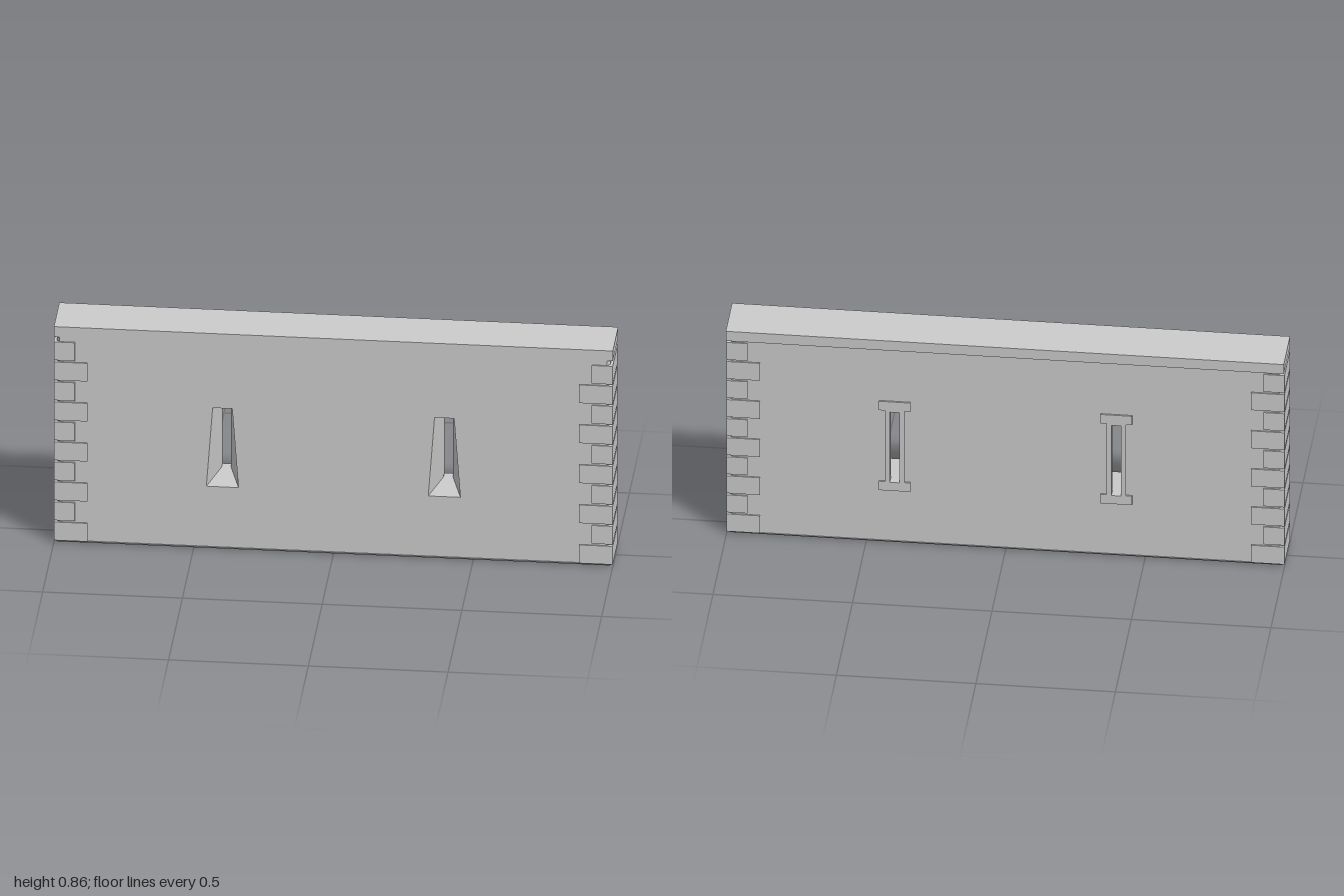
import * as THREE from 'three';

const material = new THREE.MeshStandardMaterial({ color: 0xcccccc, flatShading: true, side: THREE.DoubleSide });
const FRONT = 0.095, BACK = -0.075;   // wall faces
const BASE = 0.01, CAP = 0.815, TOP = 0.855;
const SLITS = [-0.397, 0.397];

const v2 = (pts) => pts.map(([x, y]) => new THREE.Vector2(x, y));

function add(parent, name, geometry) {
  const mesh = new THREE.Mesh(geometry, material);
  mesh.name = name;
  parent.add(mesh);
  return mesh;
}

function box(parent, name, x0, x1, y0, y1, z0, z1) {
  const mesh = add(parent, name, new THREE.BoxGeometry(x1 - x0, y1 - y0, z1 - z0));
  mesh.position.set((x0 + x1) / 2, (y0 + y1) / 2, (z0 + z1) / 2);
  return mesh;
}

// Joins successive closed rings of [x, y, z] points with flat quads
function loft(rings) {
  const pos = [];
  for (let r = 0; r < rings.length - 1; r++) {
    const a = rings[r], b = rings[r + 1];
    for (let i = 0; i < a.length; i++) {
      const j = (i + 1) % a.length;
      pos.push(...a[i], ...a[j], ...b[j], ...a[i], ...b[j], ...b[i]);
    }
  }
  const g = new THREE.BufferGeometry();
  g.setAttribute('position', new THREE.Float32BufferAttribute(pos, 3));
  g.computeVertexNormals();
  return g;
}

// Trapezoid outline, counter-clockwise, centred on cx
const trapezoid = (cx, y0, y1, w0, w1) =>
  [[cx - w0 / 2, y0], [cx + w0 / 2, y0], [cx + w1 / 2, y1], [cx - w1 / 2, y1]];
const splay = (cx) => trapezoid(cx, 0.248, 0.56, 0.115, 0.07);
const slot = (cx) => trapezoid(cx, 0.255, 0.547, 0.034, 0.034);

// Wall face pierced by the arrow slits
function face(outline) {
  const shape = new THREE.Shape(v2([[-0.98, BASE], [0.98, BASE], [0.98, CAP], [-0.98, CAP]]));
  SLITS.forEach((cx) => shape.holes.push(new THREE.Path(v2(outline(cx)))));
  return new THREE.ShapeGeometry(shape);
}

export function createModel() {
  const model = new THREE.Group();
  model.name = 'wallSection';

  // Main wall: two pierced faces and chamfered ends
  const wall = new THREE.Group();
  wall.name = 'wall';
  model.add(wall);
  add(wall, 'frontFace', face(splay)).position.z = FRONT;
  const back = add(wall, 'backFace', face(slot));
  back.position.z = BACK;
  back.rotation.y = Math.PI;
  for (const s of [-1, 1]) {
    const plan = [[0.98, FRONT], [0.99, FRONT - 0.01], [0.99, BACK + 0.01], [0.98, BACK]];
    if (s < 0) plan.reverse();
    const ring = (y) => plan.map(([x, z]) => [s * x, y, z]);
    add(wall, s > 0 ? 'leftEnd' : 'rightEnd', loft([ring(BASE), ring(CAP)]));
  }

  // Bevelled foot with a flat underside
  const rect = (x, y, z0, z1) => [[-x, y, z1], [x, y, z1], [x, y, z0], [-x, y, z0]];
  const centre = rect(0, 0, 0, 0);
  add(model, 'foot', loft([centre, rect(0.988, 0, -0.068, 0.088), rect(0.996, BASE, BACK - 0.003, FRONT + 0.003),
    rect(0.98, BASE, BACK, FRONT)]));

  // Coping overhanging the back
  box(model, 'coping', -1, 1, CAP, TOP, -0.1, FRONT);

  // Alternating long and short corner stones
  const stones = new THREE.Group();
  stones.name = 'cornerStones';
  model.add(stones);
  for (const s of [-1, 1]) {
    for (let i = 0; i < 10; i++) {
      const inner = i % 2 ? 0.925 : 0.88;
      const y = BASE + i * 0.0794;
      box(stones, 'cornerStone', s > 0 ? inner : -1, s > 0 ? 1 : -inner, y, y + 0.072, -0.08, 0.1);
    }
  }

  // Arrow slits: splayed reveal narrowing to a straight slot, trimmed at the back
  for (const cx of SLITS) {
    const slit = new THREE.Group();
    slit.name = cx > 0 ? 'leftArrowSlit' : 'rightArrowSlit';
    model.add(slit);
    const at = (pts, z) => pts.map(([x, y]) => [x, y, z]).reverse();
    add(slit, 'reveal', loft([at(slot(cx), BACK), at(slot(cx), -0.05), at(splay(cx), FRONT)]));

    const half = [[0.057, 0.22], [0.057, 0.257], [0.035, 0.257], [0.035, 0.553], [0.057, 0.553], [0.057, 0.59]];
    const outline = [...half, ...half.map(([x, y]) => [-x, y]).reverse()].map(([x, y]) => [cx + x, y]);
    const trim = new THREE.Shape(v2(outline));
    trim.holes.push(new THREE.Path(v2(slot(cx))));
    add(slit, 'backTrim', new THREE.ExtrudeGeometry(trim, { depth: 0.006, bevelEnabled: false }))
      .position.z = BACK - 0.006;
  }
  return model;
}
